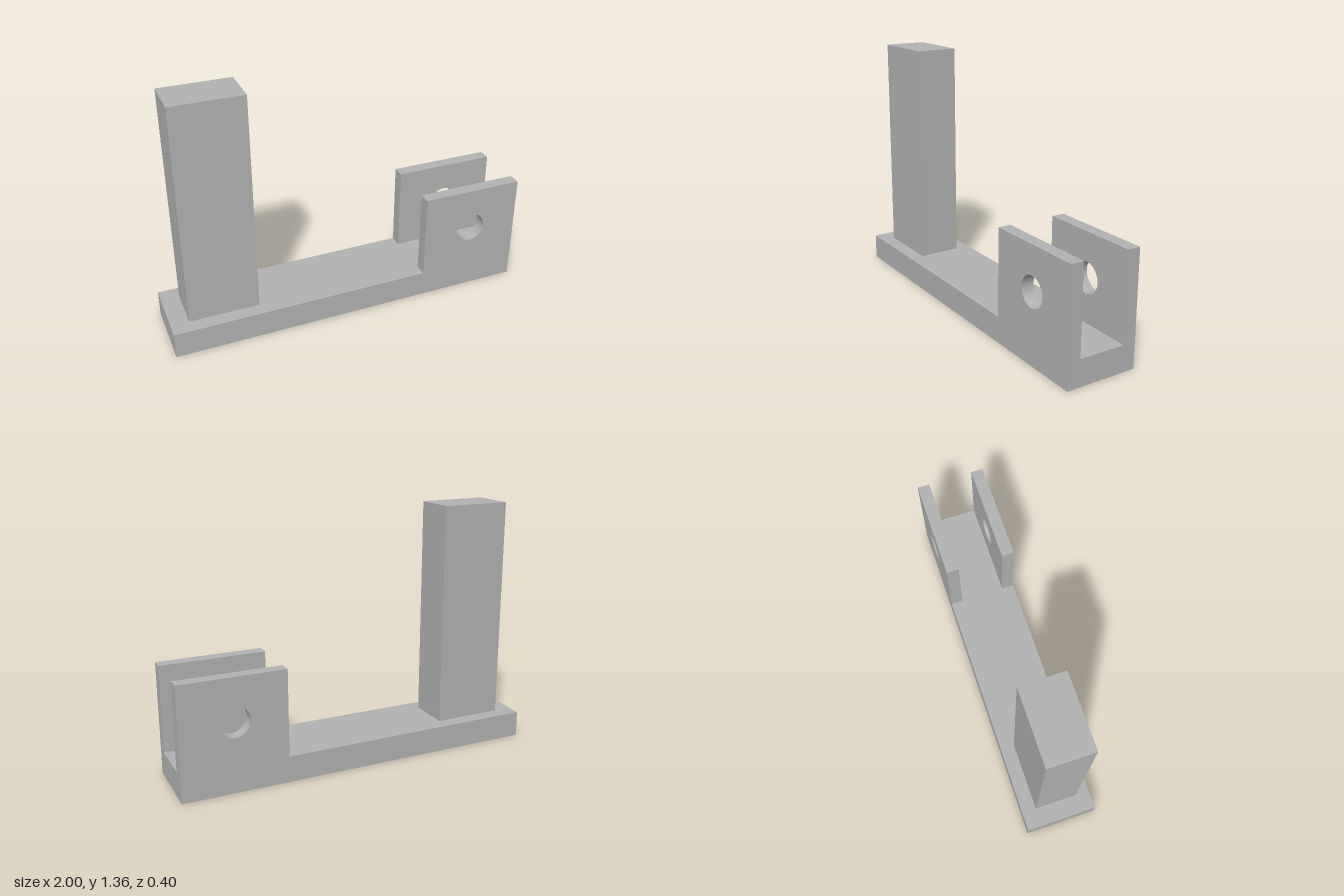
import * as THREE from 'three';

export function createModel() {
  const model = new THREE.Group();
  model.name = 'postAndClevisBracket';
  const grey = new THREE.MeshStandardMaterial({ color: 0xb2b2b2 });
  grey.name = 'plain grey';

  const baseTop = 0.143, halfDepth = 0.198, wall = 0.07;

  // Box given by its x and y limits and its depth, centred on z = 0
  const block = (name, x0, x1, y0, y1, depth) => {
    const mesh = new THREE.Mesh(new THREE.BoxGeometry(x1 - x0, y1 - y0, depth), grey);
    mesh.name = name;
    mesh.position.set((x0 + x1) / 2, (y0 + y1) / 2, 0);
    model.add(mesh);
  };
  block('base', -1, 1, 0, baseTop, 2 * halfDepth);
  block('post', -0.9, -0.517, baseTop, 1.362, 0.237);

  // Pair of upright lugs with a round pin hole
  const outline = new THREE.Shape([
    new THREE.Vector2(0.43, baseTop), new THREE.Vector2(1, baseTop),
    new THREE.Vector2(1, 0.617), new THREE.Vector2(0.43, 0.617),
  ]);
  outline.holes.push(new THREE.Path().absarc(0.714, 0.381, 0.083, 0, Math.PI * 2, true));
  const lugGeometry = new THREE.ExtrudeGeometry(outline, {
    depth: wall, bevelEnabled: false, curveSegments: 48,
  });
  for (const [name, z] of [['frontLug', halfDepth - wall], ['backLug', -halfDepth]]) {
    const lug = new THREE.Mesh(lugGeometry, grey);
    lug.name = name;
    lug.position.z = z;
    model.add(lug);
  }
  return model;
}
